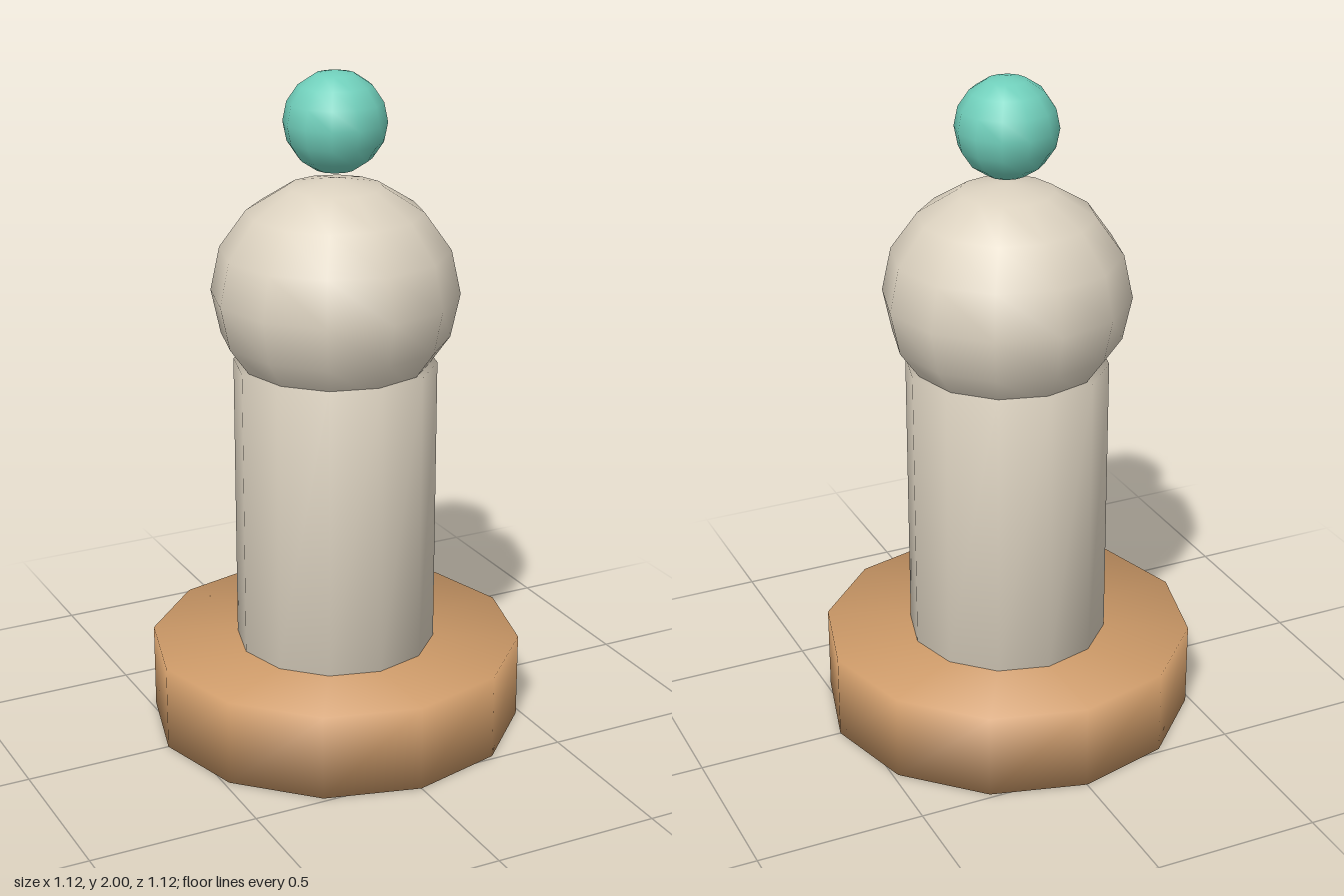
import * as THREE from 'three';
import { mergeVertices } from 'three/addons/utils/BufferGeometryUtils.js';

const SIDES = 12;

// Share vertices between walls and caps so the shading rolls over the rims
function softCylinder(radius, height) {
  const g = new THREE.CylinderGeometry(radius, radius, height, SIDES);
  g.deleteAttribute('normal');
  g.deleteAttribute('uv');
  const merged = mergeVertices(g, 1e-4);
  merged.computeVertexNormals();
  return merged;
}

function softBall(radius, halfHeight) {
  return new THREE.SphereGeometry(radius, SIDES, 8).scale(1, halfHeight / radius, 1);
}

function material(name, color) {
  const m = new THREE.MeshStandardMaterial({ color });
  m.name = name;
  return m;
}

export function createModel() {
  const model = new THREE.Group();
  model.name = 'gamePiece';

  const tan = material('tan', 0xcd9a68);
  const cream = material('cream', 0xdcd2c0);
  const teal = material('teal', 0x70cfbb);

  const add = (name, geometry, mat, y) => {
    const mesh = new THREE.Mesh(geometry, mat);
    mesh.name = name;
    mesh.position.y = y;
    model.add(mesh);
  };

  // Round base and straight column
  add('base', softCylinder(0.56, 0.26), tan, 0.13);
  add('column', softCylinder(0.3, 0.88), cream, 0.7);

  // Slightly squashed head with a small ball floating just above it
  add('head', softBall(0.364, 0.34), cream, 1.35);
  add('topBall', softBall(0.15, 0.148), teal, 1.852);

  return model;
}
